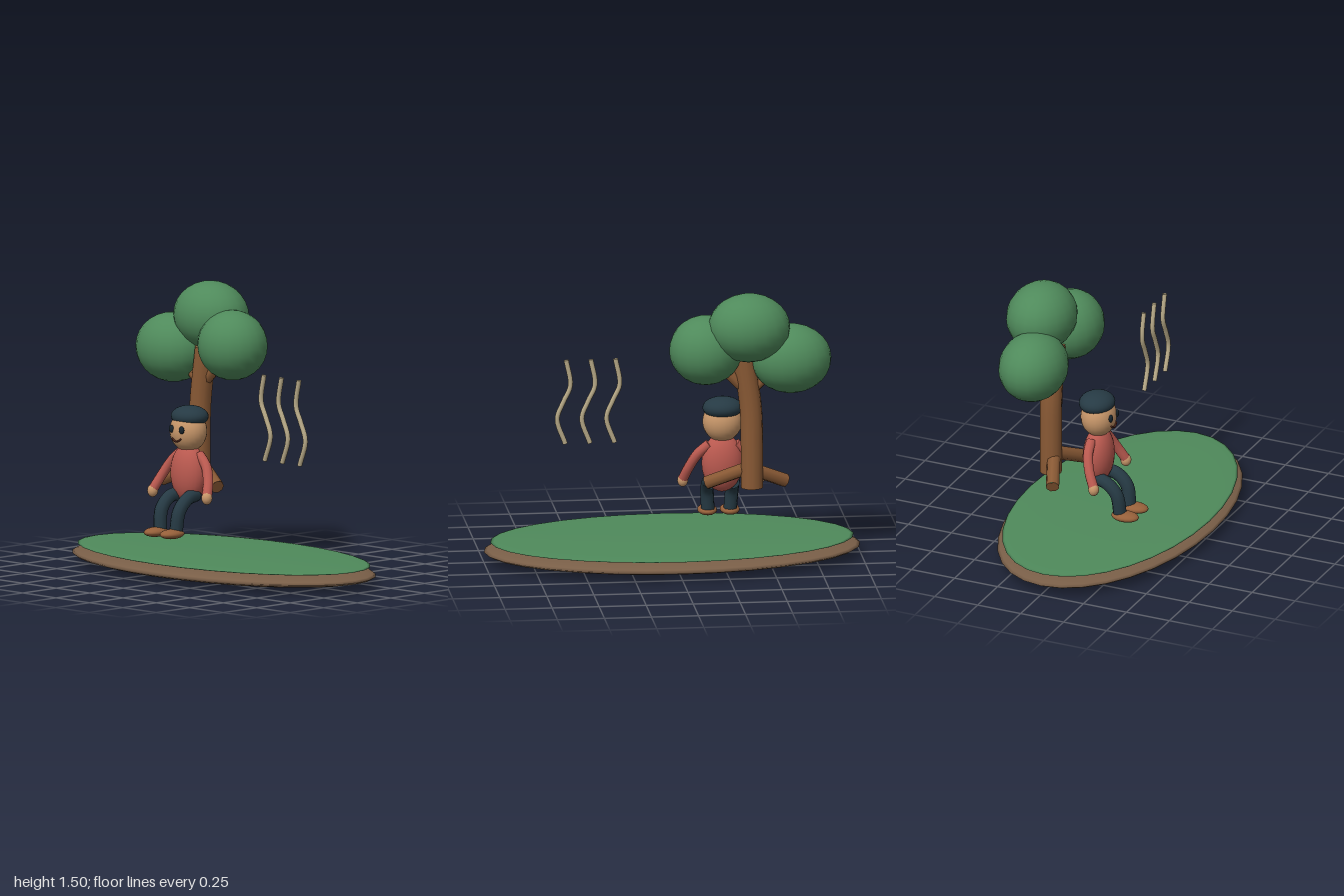
import * as THREE from 'three';

const paint = (color) => new THREE.MeshStandardMaterial({ color });
const leaf = paint(0x4f8a5b), grass = paint(0x4f8a5b), bark = paint(0x8a5a35), soil = paint(0x7a5f48);
const skin = paint(0xc8976a), dark = paint(0x263a44), shirt = paint(0xbb5a50), leather = paint(0x96603a);
const ink = paint(0x18242c), mouth = paint(0x5a2b20), steam = paint(0xb8aa88);

const V = (p) => new THREE.Vector3(...p);

function add(parent, name, geometry, material) {
  const mesh = new THREE.Mesh(geometry, material);
  mesh.name = name;
  parent.add(mesh);
  return mesh;
}

// Ellipsoid from a centre and three radii
function blob(parent, name, center, radii, material, w = 24, h = 16) {
  const mesh = add(parent, name, new THREE.SphereGeometry(1, w, h), material);
  mesh.position.set(...center);
  mesh.scale.set(...radii);
  return mesh;
}

// Smooth tube through points, closed by a disc at each end
function limb(parent, name, points, radius, material, sides = 10, steps = 20) {
  const group = new THREE.Group();
  group.name = name;
  parent.add(group);
  const curve = new THREE.CatmullRomCurve3(points.map(V));
  add(group, name + 'Tube', new THREE.TubeGeometry(curve, steps, radius, sides), material);
  for (const t of [0, 1]) {
    const cap = add(group, name + 'End', new THREE.CircleGeometry(radius, sides), material);
    const out = curve.getTangentAt(t).multiplyScalar(t ? 1 : -1);
    cap.position.copy(curve.getPointAt(t));
    cap.quaternion.setFromUnitVectors(new THREE.Vector3(0, 0, 1), out);
  }
  return group;
}

function makeGround() {
  const g = new THREE.Group();
  g.name = 'ground';
  blob(g, 'soil', [0, 0.055, 0], [1, 0.055, 0.545], soil, 32, 16);
  blob(g, 'grass', [0, 0.105, 0], [0.965, 0.016, 0.522], grass, 32, 16);
  return g;
}

function makeTree() {
  const g = new THREE.Group();
  g.name = 'tree';
  const z = -0.217;
  limb(g, 'trunk', [[-0.4, 0.425, z], [-0.4, 0.64, z], [-0.395, 0.85, z], [-0.355, 1.15, z]], 0.059, bark, 12);
  for (const s of [-1, 1]) {
    limb(g, 'root', [[-0.38 + s * 0.02, 0.52, -0.2], [-0.38 + s * 0.21, 0.432, -0.12]], 0.036, bark, 8, 1);
    limb(g, 'branch', [[-0.385, 0.94, z], [-0.385 + s * 0.15, 1.09, z]], 0.029, bark, 8, 1);
  }
  blob(g, 'leftFoliage', [-0.607, 1.125, -0.222], [0.215, 0.185, 0.18], leaf, 20, 14);
  blob(g, 'topFoliage', [-0.378, 1.312, -0.28], [0.218, 0.183, 0.183], leaf, 20, 14);
  blob(g, 'rightFoliage', [-0.155, 1.181, -0.217], [0.194, 0.186, 0.18], leaf, 20, 14);
  return g;
}

function makePerson() {
  const g = new THREE.Group();
  g.name = 'person';
  g.position.x = -0.267;
  blob(g, 'torso', [0, 0.51, 0], [0.11, 0.158, 0.079], shirt);
  blob(g, 'head', [0, 0.735, 0], [0.105, 0.11, 0.094], skin);
  blob(g, 'cap', [0, 0.812, -0.01], [0.106, 0.058, 0.094], dark);
  limb(g, 'smile', [[-0.032, 0.702, 0.087], [-0.016, 0.69, 0.09], [0, 0.686, 0.091], [0.016, 0.69, 0.09], [0.032, 0.702, 0.087]],
    0.005, mouth, 6, 12);
  // Mirrored eyes, arms and legs
  for (const s of [-1, 1]) {
    blob(g, 'eye', [s * 0.038, 0.75, 0.088], [0.017, 0.021, 0.011], ink, 12, 8);
    limb(g, 'arm', [[s * 0.07, 0.615, -0.012], [s * 0.13, 0.56, -0.002], [s * 0.173, 0.485, 0.025], [s * 0.2, 0.415, 0.06]],
      0.027, shirt);
    blob(g, 'hand', [s * 0.203, 0.402, 0.064], [0.029, 0.035, 0.029], skin, 16, 10);
    limb(g, 'leg', [[s * 0.058, 0.4, 0], [s * 0.066, 0.384, 0.075], [s * 0.066, 0.325, 0.134], [s * 0.059, 0.21, 0.152]],
      0.036, dark);
    blob(g, 'shoe', [s * 0.06, 0.208, 0.181], [0.052, 0.026, 0.077], leather, 20, 12);
  }
  return g;
}

// Three wavy upright strands
function makeWaves() {
  const g = new THREE.Group();
  g.name = 'breeze';
  for (let i = 0; i < 3; i++) {
    const x = 0.3 + i * 0.131;
    limb(g, 'strand', [[x, 1.09, 0], [x - 0.022, 0.95, 0], [x + 0.014, 0.865, 0], [x + 0.048, 0.77, 0], [x + 0.005, 0.635, 0]],
      0.013, steam, 8, 24);
  }
  return g;
}

export function createModel() {
  const model = new THREE.Group();
  model.name = 'parkScene';
  model.add(makeGround(), makeTree(), makePerson(), makeWaves());
  return model;
}
